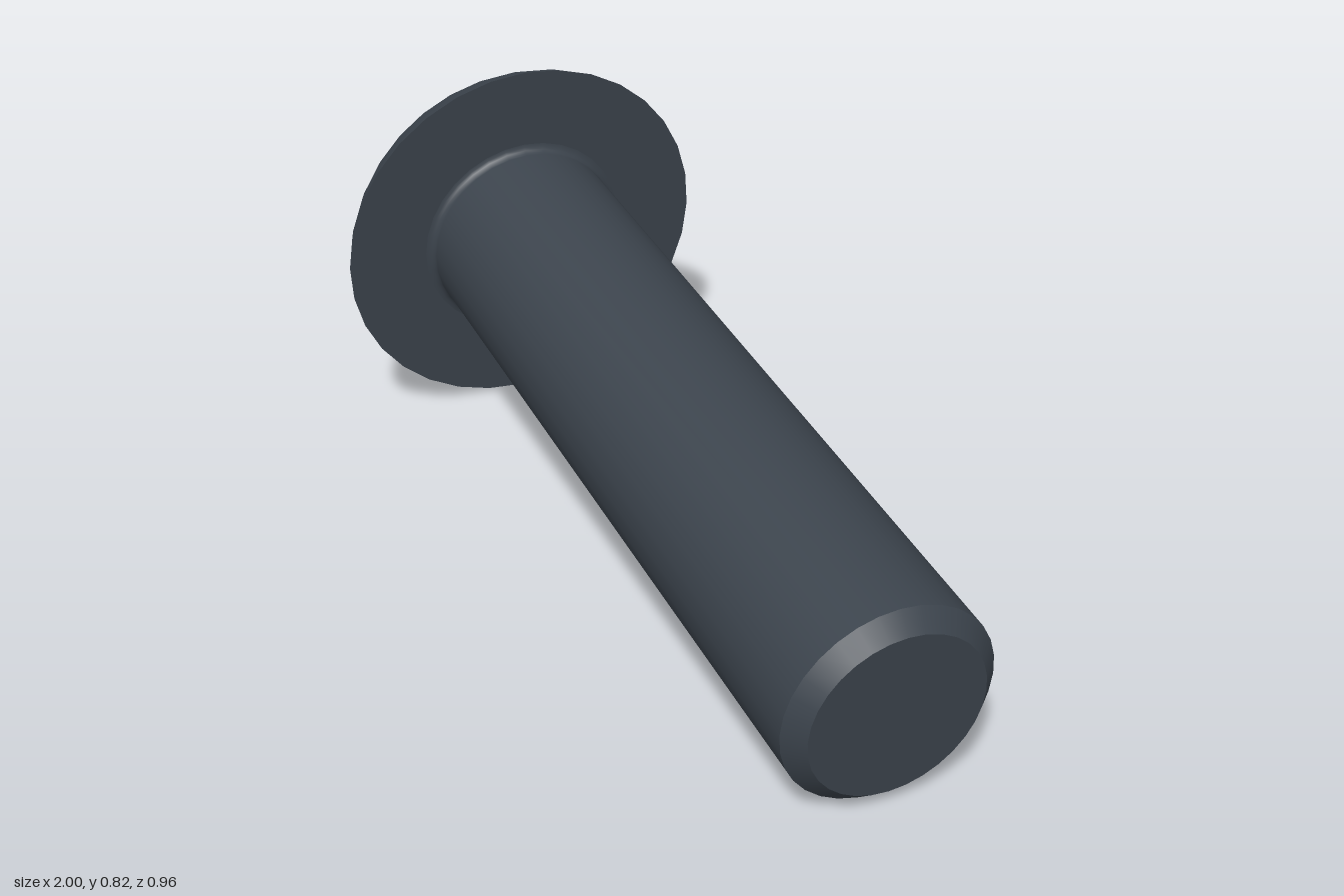
import * as THREE from 'three';

export function createModel() {
  const steel = new THREE.MeshStandardMaterial({ color: 0x3c444d });
  steel.name = 'darkSteel';
  const model = new THREE.Group();
  model.name = 'buttonHeadScrew';
  const SIDES = 32;

  const headR = 0.411, headH = 0.237, flatR = 0.2, socketR = 0.17;
  const shankR = 0.215, length = 1.732, bevel = 0.036, fillet = 0.018;

  const add = (name, geometry) => {
    const mesh = new THREE.Mesh(geometry, steel);
    mesh.name = name;
    model.add(mesh);
  };
  // Profiles run from the tip end (low y) to the head end (high y)
  const turned = (name, pts) =>
    add(name, new THREE.LatheGeometry(pts.map(([r, y]) => new THREE.Vector2(r, y)), SIDES));

  // Shank: tip face, bevel, and body with a small fillet under the head
  turned('tipFace', [[0, -length], [shankR - bevel, -length]]);
  turned('tipBevel', [[shankR - bevel, -length], [shankR, -length + bevel]]);
  const body = [[shankR, -length + bevel]];
  for (let i = 0; i <= 4; i++) {
    const t = (i / 4) * Math.PI / 2;
    body.push([shankR + fillet * (1 - Math.cos(t)), -fillet * (1 - Math.sin(t))]);
  }
  turned('shank', body);

  // Head: flat underside, then a spherical dome ending in a small flat ring
  turned('headUnderside', [[shankR + fillet, 0], [headR, 0]]);
  const c = (flatR ** 2 + headH ** 2 - headR ** 2) / (2 * headH);
  const domeR = Math.hypot(headR, c);
  const a0 = Math.atan2(-c, headR), a1 = Math.atan2(headH - c, flatR);
  const dome = [];
  for (let i = 0; i <= 10; i++) {
    const a = a0 + (a1 - a0) * i / 10;
    dome.push([domeR * Math.cos(a), c + domeR * Math.sin(a)]);
  }
  dome.push([socketR, headH]);
  turned('headDome', dome);

  // Hex socket: rows go from the round mouth to the hex edge, floor edge and centre
  const N = 96, hexCorner = 0.166, depth = 0.15, turn = -42 * Math.PI / 180;
  const hexRadius = (t) => {
    const sector = Math.PI / 3;
    const local = ((t - turn) % sector + sector) % sector - sector / 2;
    return hexCorner * Math.cos(sector / 2) / Math.cos(local);
  };
  const rows = [
    () => [socketR, headH],
    (t) => [hexRadius(t), headH - 0.6 * (socketR - hexRadius(t))],
    (t) => [hexRadius(t), headH - depth],
    () => [0, headH - depth],
  ];
  const point = (row, i) => {
    const t = turn + (i / N) * Math.PI * 2;
    const [r, y] = rows[row](t + 1e-6);
    return [r * Math.cos(t), y, -r * Math.sin(t)];
  };
  const verts = [];
  for (let row = 0; row < rows.length - 1; row++) {
    for (let i = 0; i < N; i++) {
      const o0 = point(row, i), o1 = point(row, i + 1);
      const n0 = point(row + 1, i), n1 = point(row + 1, i + 1);
      verts.push(...o0, ...o1, ...n0);
      if (row < 2) verts.push(...o1, ...n1, ...n0);
    }
  }
  const socket = new THREE.BufferGeometry();
  socket.setAttribute('position', new THREE.Float32BufferAttribute(verts, 3));
  socket.computeVertexNormals();
  add('hexSocket', socket);

  // Lay the screw along its tilted axis
  const up = new THREE.Vector3(-0.9715, 0.1145, -0.2077).normalize();
  const side = new THREE.Vector3(up.z, 0, -up.x).normalize();
  const third = new THREE.Vector3().crossVectors(side, up);
  model.quaternion.setFromRotationMatrix(new THREE.Matrix4().makeBasis(side, up, third));
  model.position.set(-0.725, 0.408, -0.08);

  const root = new THREE.Group();
  root.name = 'screw';
  root.add(model);
  return root;
}
